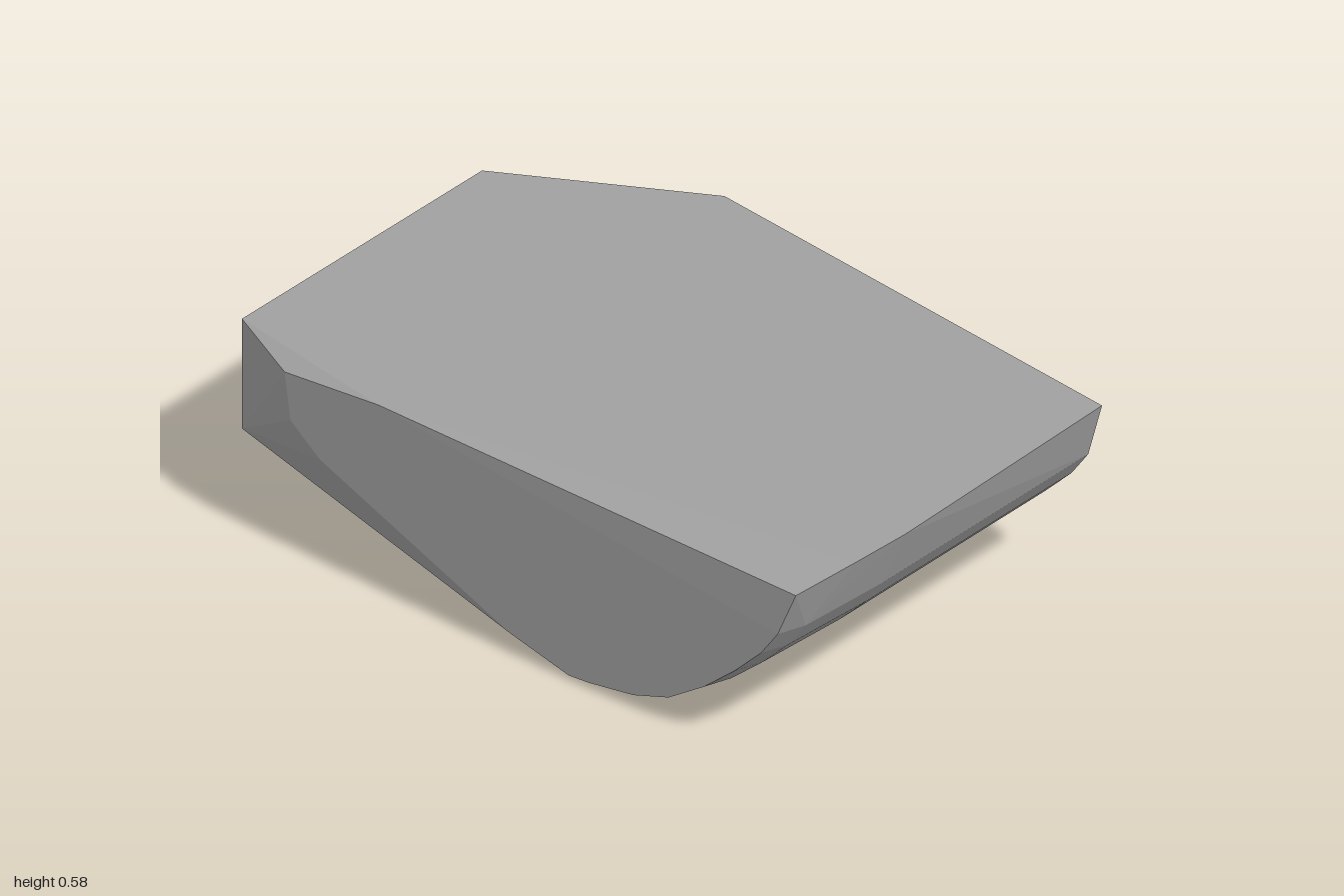
import * as THREE from 'three';
import { ConvexGeometry } from 'three/addons/geometries/ConvexGeometry.js';

// One faceted boulder: a convex skin around a few corner rings.
export function createModel() {
  const group = new THREE.Group();
  group.name = 'rock';
  const stone = new THREE.MeshStandardMaterial({ color: 0xa0a0a0, flatShading: true });
  stone.name = 'stone grey';

  const points = [];
  const add = (...corners) => corners.forEach((c) => points.push(new THREE.Vector3(...c)));

  // Flat top and its chamfered corners
  add([-1, 0.585, -0.38], [-1, 0.585, 0.59], [-0.45, 0.585, 0.69], [-0.77, 0.56, 0.69],
    [0.97, 0.56, 0.685], [0.99, 0.568, 0.47], [1, 0.57, 0.28], [0.98, 0.573, -0.54],
    [-0.435, 0.585, -0.69], [-0.74, 0.567, -0.55]);

  // Rounded right side: one curve swept from back to front, tucked in at the front face
  const curve = [[0.942, 0.41], [0.885, 0.33], [0.795, 0.24], [0.69, 0.15],
    [0.57, 0.07], [0.45, 0.03], [0.3, 0.008]];
  for (const [x, y] of curve) {
    add([x - 0.005, y, -0.535], [x, y, 0.3], [x - 0.01, y + 0.005, 0.6], [x - 0.03, y + 0.012, 0.69]);
  }

  // Left edge of the front face
  add([-0.75, 0.42, 0.69], [-0.65, 0.34, 0.69], [0, 0.065, 0.69], [0.2, 0.015, 0.69]);

  // Left end
  add([-1, 0.25, 0.59], [-1, 0.165, 0.2], [-1, 0.19, 0.11], [-1, 0.43, -0.35]);

  // Underside and lower back
  add([-0.76, 0.055, -0.05], [-0.65, 0.03, 0.03], [0.13, 0.002, -0.54],
    [-0.015, 0.04, -0.55], [-0.7, 0.25, -0.4]);

  const boulder = new THREE.Mesh(new ConvexGeometry(points), stone);
  boulder.name = 'boulder';
  group.add(boulder);
  return group;
}
